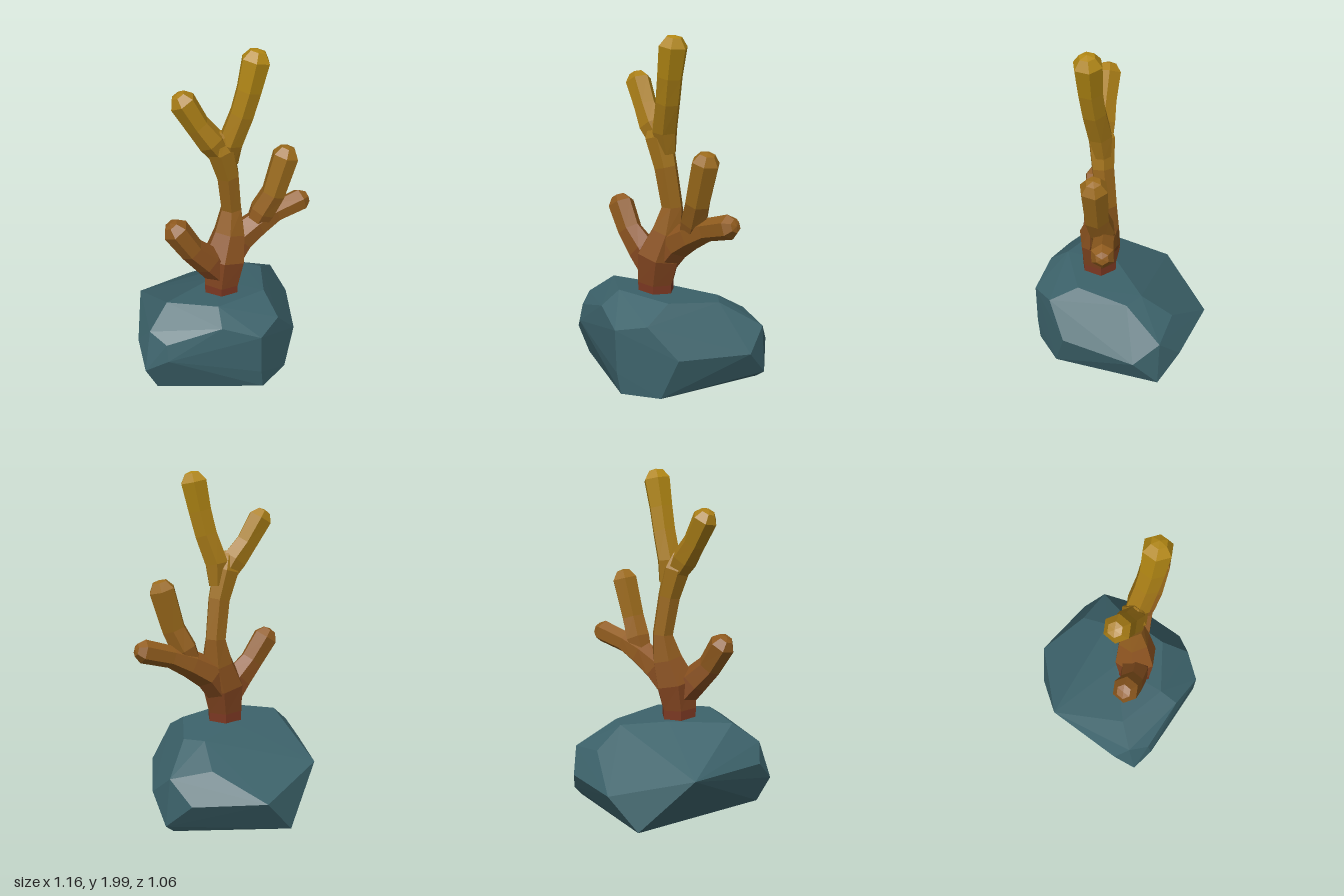
import * as THREE from 'three';
import { ConvexGeometry } from 'three/addons/geometries/ConvexGeometry.js';

const SIDES = 6;
const LOW = new THREE.Color(0x7c3822);
const HIGH = new THREE.Color(0xb48a12);

// Coral colour shifts from rust to gold with height
function coralMaterial(y) {
  const t = THREE.MathUtils.clamp((y - 0.5) / 1.45, 0, 1);
  return new THREE.MeshStandardMaterial({ color: LOW.clone().lerp(HIGH, t), flatShading: true });
}

// Six-sided ring around a point, square to the branch direction
function ring(center, dir, r) {
  const n1 = new THREE.Vector3(0, 0, 1).addScaledVector(dir, -dir.z).normalize();
  const n2 = dir.clone().cross(n1);
  return Array.from({ length: SIDES }, (_, i) => {
    const a = ((i + 0.5) / SIDES) * Math.PI * 2;
    return center.clone().addScaledVector(n1, Math.cos(a) * r).addScaledVector(n2, Math.sin(a) * r);
  });
}

// Faceted band between two rings
function band(a, b, tris) {
  for (let i = 0; i < SIDES; i++) {
    const j = (i + 1) % SIDES;
    tris.push(a[i], a[j], b[j], a[i], b[j], b[i]);
  }
}

// Branch along stations [x, y, z, radius]; closed by a blunt faceted tip
function branch(name, stations, tip = true) {
  const group = new THREE.Group();
  group.name = name;
  const pts = stations.map(s => new THREE.Vector3(s[0], s[1], s[2]));
  const last = pts.length - 1;
  const rings = pts.map((p, i) => {
    const dir = pts[Math.min(i + 1, last)].clone().sub(pts[Math.max(i - 1, 0)]).normalize();
    return ring(p, dir, stations[i][3]);
  });
  for (let i = 0; i < last; i++) {
    const tris = [];
    band(rings[i], rings[i + 1], tris);
    if (tip && i === last - 1) {
      const dir = pts[last].clone().sub(pts[last - 1]).normalize();
      const r = stations[last][3];
      const end = pts[last].clone().addScaledVector(dir, r * 0.6);
      const cap = ring(end, dir, r * 0.55);
      band(rings[last], cap, tris);
      const peak = end.clone().addScaledVector(dir, r * 0.12);
      for (let k = 0; k < SIDES; k++) tris.push(cap[k], cap[(k + 1) % SIDES], peak);
    }
    const geo = new THREE.BufferGeometry().setFromPoints(tris);
    geo.computeVertexNormals();
    const mesh = new THREE.Mesh(geo, coralMaterial((pts[i].y + pts[i + 1].y) / 2));
    mesh.name = `${name}Section${i + 1}`;
    group.add(mesh);
  }
  return group;
}

// Faceted boulder as the hull of its corners
function rock() {
  const corners = [
    // base
    [-0.5, 0, 0.2], [0.05, 0, 0.52], [0.27, 0, 0.43], [0.53, 0, -0.16], [-0.04, 0, -0.51], [0.58, 0.04, -0.16],
    // waist
    [-0.58, 0.16, 0.21], [-0.475, 0.25, 0.305], [-0.555, 0.29, 0.075], [0.03, 0.125, 0.53],
    [0.36, 0.235, 0.385], [0.578, 0.2, -0.01], [0.555, 0.32, -0.17], [0.495, 0.185, -0.305], [0.14, 0.195, -0.53],
    // shoulder
    [-0.52, 0.395, 0.165], [-0.47, 0.35, 0.28], [-0.18, 0.45, 0.42], [0.02, 0.38, 0.53], [0.19, 0.415, 0.45],
    [-0.325, 0.3, -0.365], [0.345, 0.355, -0.28],
    // crown
    [-0.37, 0.51, 0.1], [-0.14, 0.525, 0.31], [0.2, 0.505, 0.275], [0.36, 0.47, 0.0], [0.28, 0.47, -0.1], [0.0, 0.5, 0.0],
  ];
  const geo = new ConvexGeometry(corners.map(c => new THREE.Vector3(...c)));
  const mesh = new THREE.Mesh(geo, new THREE.MeshStandardMaterial({ color: 0x3c626a, flatShading: true }));
  mesh.name = 'rock';
  return mesh;
}

export function createModel() {
  const model = new THREE.Group();
  model.name = 'coralOnRock';
  const coral = new THREE.Group();
  coral.name = 'coral';
  coral.add(
    branch('trunk', [
      [-0.01, 0.42, 0.125, 0.11], [-0.01, 0.56, 0.125, 0.113], [0.01, 0.72, 0.12, 0.135],
      [0.06, 0.87, 0.1, 0.1], [0.08, 1.02, 0.085, 0.066], [0.045, 1.25, 0.1, 0.07],
      [-0.005, 1.42, 0.1, 0.083], [-0.02, 1.5, 0.1, 0.05],
    ]),
    branch('upperLeftFork', [
      [0.06, 1.33, 0.1, 0.05], [0.05, 1.46, 0.115, 0.075], [0.1, 1.63, 0.15, 0.073],
      [0.13, 1.77, 0.17, 0.075], [0.162, 1.935, 0.182, 0.084],
    ]),
    branch('upperRightFork', [
      [0.02, 1.36, 0.1, 0.06], [-0.06, 1.48, 0.09, 0.08], [-0.13, 1.58, 0.065, 0.07], [-0.208, 1.722, 0.037, 0.077],
    ]),
    branch('lowerRightBranch', [
      [0, 0.62, 0.125, 0.1], [-0.11, 0.74, 0.13, 0.09], [-0.21, 0.84, 0.125, 0.075], [-0.3, 0.985, 0.1, 0.08],
    ]),
    branch('lowerLeftBranch', [
      [0, 0.66, 0.11, 0.1], [0.12, 0.81, 0.1, 0.1], [0.24, 0.88, 0.115, 0.083],
      [0.36, 0.935, 0.13, 0.066], [0.53, 0.985, 0.155, 0.07],
    ]),
    branch('lowerLeftShoot', [
      [0.22, 0.85, 0.11, 0.06], [0.27, 0.97, 0.13, 0.08], [0.32, 1.09, 0.165, 0.075], [0.385, 1.325, 0.182, 0.082],
    ]),
  );
  model.add(rock(), coral);
  return model;
}
